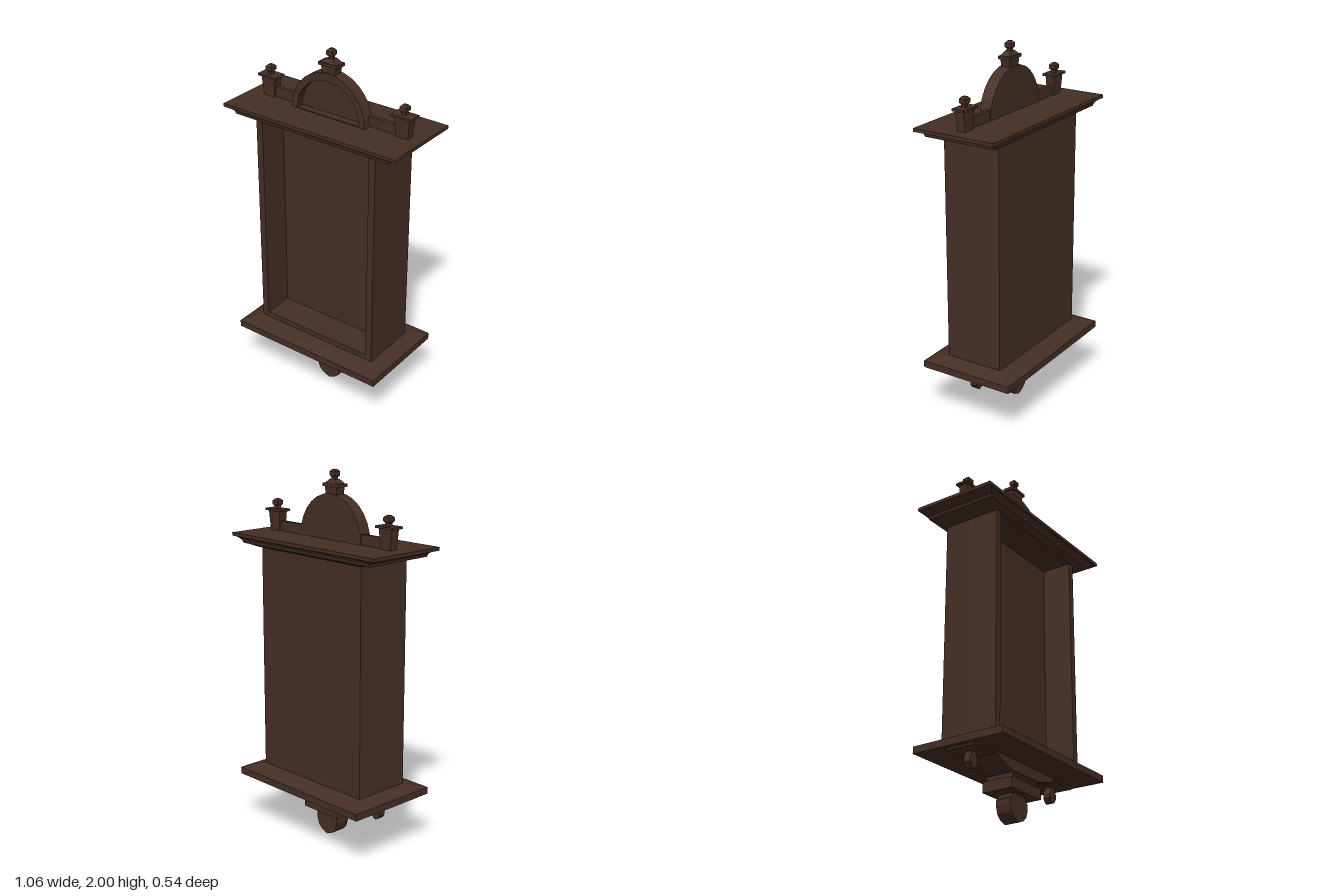
import * as THREE from 'three';

export function createModel() {
  const model = new THREE.Group();
  model.name = 'wallCabinet';
  const wood = new THREE.MeshStandardMaterial({ color: 0x452e25, flatShading: true });
  wood.name = 'darkWood';

  const add = (parent, name, geometry, x = 0, y = 0, z = 0) => {
    const mesh = new THREE.Mesh(geometry, wood);
    mesh.name = name;
    mesh.position.set(x, y, z);
    parent.add(mesh);
    return mesh;
  };

  // Four-sided block between y0 and y1 with separate half sizes at each end
  const block = (parent, name, y0, y1, [w0, d0], [w1, d1] = [w0, d0], x = 0, z = 0) => {
    const g = new THREE.BoxGeometry(2, y1 - y0, 2);
    const p = g.attributes.position;
    for (let i = 0; i < p.count; i++) {
      const top = p.getY(i) > 0;
      p.setX(i, p.getX(i) * (top ? w1 : w0));
      p.setZ(i, p.getZ(i) * (top ? d1 : d0));
    }
    g.computeVertexNormals();
    return add(parent, name, g, x, (y0 + y1) / 2, z);
  };

  const rect = (Kind, x0, y0, x1, y1) => new Kind([
    [x0, y0], [x1, y0], [x1, y1], [x0, y1],
  ].map(([x, y]) => new THREE.Vector2(x, y)));
  const extrude = (shape, depth) =>
    new THREE.ExtrudeGeometry(shape, { depth, bevelEnabled: false, curveSegments: 12 });

  // Flat cutout from the right half of an outline, listed from top to bottom
  const cutout = (half, depth) => {
    const left = half.filter(([x]) => x > 0).map(([x, y]) => [-x, y]);
    const pts = [...half, ...left.reverse()].map(([x, y]) => new THREE.Vector2(x, y));
    return extrude(new THREE.Shape(pts), depth).translate(0, 0, -depth / 2);
  };

  // Case: open-fronted box with a recessed back
  const caseGroup = new THREE.Group();
  caseGroup.name = 'case';
  model.add(caseGroup);
  const frame = rect(THREE.Shape, -0.373, 0.345, 0.373, 1.58);
  frame.holes.push(rect(THREE.Path, -0.335, 0.38, 0.335, 1.57));
  add(caseGroup, 'caseFrame', extrude(frame, 0.17), 0, 0, -0.007);
  block(caseGroup, 'caseBack', 0.345, 1.58, [0.373, 0.078], undefined, 0, -0.085);

  // Cornice, from the case up to the top slab
  const cornice = new THREE.Group();
  cornice.name = 'cornice';
  cornice.position.z = -0.003;
  model.add(cornice);
  block(cornice, 'corniceCove', 1.572, 1.587, [0.385, 0.17], [0.465, 0.2]);
  block(cornice, 'corniceBand', 1.587, 1.603, [0.475, 0.205], [0.48, 0.21]);
  block(cornice, 'corniceFlare', 1.603, 1.622, [0.48, 0.21], [0.51, 0.225]);
  block(cornice, 'corniceSlab', 1.622, 1.64, [0.532, 0.235]);

  // Base moulding
  const base = new THREE.Group();
  base.name = 'base';
  base.position.z = -0.003;
  model.add(base);
  block(base, 'baseSlab', 0.287, 0.325, [0.46, 0.268]);
  block(base, 'baseSlope', 0.325, 0.35, [0.46, 0.268], [0.38, 0.172]);

  // Bracket, stepped block and drop under the base
  add(model, 'bracket', cutout([
    [0.27, 0.288], [0.245, 0.275], [0.2, 0.252], [0.15, 0.236], [0.105, 0.228],
  ], 0.18));
  block(model, 'bracketNeck', 0.198, 0.23, [0.105, 0.07], [0.105, 0.088]);
  block(model, 'bracketBlock', 0.14, 0.198, [0.13, 0.088]);
  add(model, 'centreDrop', cutout([
    [0.055, 0.14], [0.058, 0.122], [0.076, 0.108], [0.077, 0.08],
    [0.065, 0.04], [0.04, 0.016], [0, 0],
  ], 0.086));

  // Small pendants near the ends
  for (const side of [-1, 1]) {
    block(model, 'pendantPlate', 0.273, 0.288, [0.08, 0.085], [0.088, 0.09], side * 0.35);
    add(model, 'pendant', cutout([
      [0.02, 0.275], [0.02, 0.258], [0.03, 0.24], [0.03, 0.217], [0.015, 0.195], [0, 0.188],
    ], 0.04), side * 0.35);
  }

  // Arched crest: a raised rim around a recessed panel
  const arch = (Kind, rx, ry, y) => {
    const pts = [];
    for (let i = 0; i <= 14; i++) {
      const a = (Math.PI * i) / 14;
      pts.push(new THREE.Vector2(rx * Math.cos(a), y + ry * Math.sin(a)));
    }
    return new Kind(pts);
  };
  const rim = arch(THREE.Shape, 0.228, 0.24, 1.638);
  rim.holes.push(arch(THREE.Path, 0.193, 0.19, 1.645));
  add(model, 'crestRim', extrude(rim, 0.04), 0, 0, 0.008);
  add(model, 'crestPanel', extrude(arch(THREE.Shape, 0.228, 0.24, 1.638), 0.026), 0, 0, -0.018);

  // Rail joining the two posts
  block(model, 'crestRail', 1.638, 1.695, [0.39, 0.01], undefined, 0.01, -0.004);

  // Faceted square knob on a short neck
  const knob = (parent, y, h, r) => {
    block(parent, 'knobNeck', y, y + h * 0.25, [r * 0.6, r * 0.6]);
    block(parent, 'knobLower', y + h * 0.25, y + h * 0.45, [r * 0.6, r * 0.6], [r, r]);
    block(parent, 'knobMiddle', y + h * 0.45, y + h * 0.8, [r, r]);
    block(parent, 'knobTop', y + h * 0.8, y + h, [r, r], [r * 0.5, r * 0.5]);
  };

  // Finial on top of the arch
  const finial = new THREE.Group();
  finial.name = 'centreFinial';
  finial.position.z = 0.015;
  model.add(finial);
  block(finial, 'finialBase', 1.86, 1.912, [0.038, 0.026], [0.044, 0.028]);
  block(finial, 'finialCap', 1.912, 1.928, [0.058, 0.033]);
  block(finial, 'finialRoof', 1.928, 1.95, [0.046, 0.028], [0.02, 0.016]);
  knob(finial, 1.945, 0.055, 0.019);

  // Corner posts
  for (const x of [-0.405, 0.426]) {
    const post = new THREE.Group();
    post.name = 'cornerPost';
    post.position.set(x, 0, -0.004);
    model.add(post);
    block(post, 'postBody', 1.638, 1.745, [0.034, 0.022], [0.044, 0.026]);
    block(post, 'postCap', 1.745, 1.757, [0.06, 0.036]);
    knob(post, 1.757, 0.053, 0.02);
  }

  return model;
}
